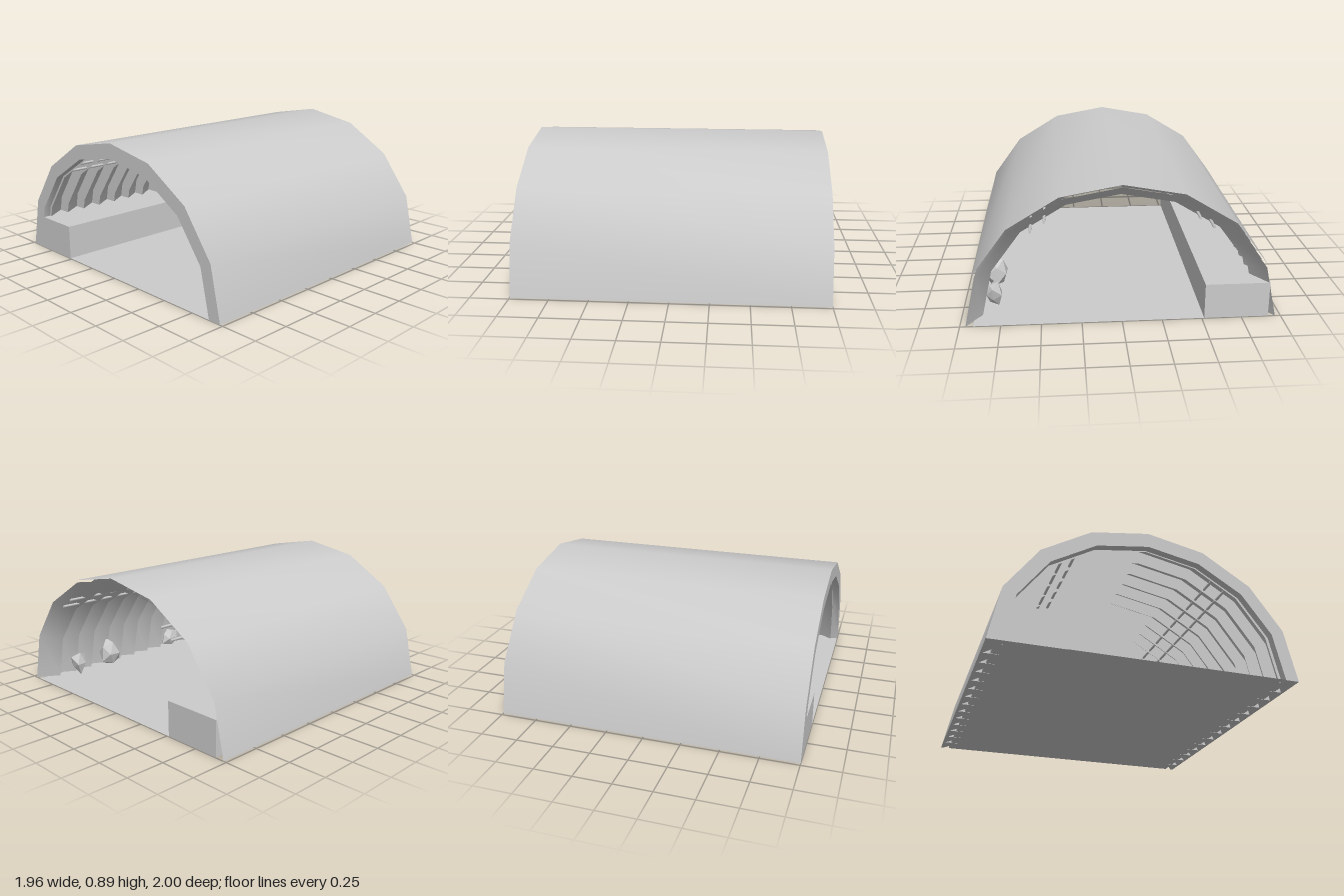
import * as THREE from 'three';

const RX = 0.98, RY = 0.895;      // outer half width and height
const SEGMENTS = 8;
const BACK = -1, FRONT = 1, LIP = 0.95;
const PANELS = 14;
const WIDE = [0.965, 0.88], NARROW = [0.87, 0.79], RING = [0.89, 0.797];

const grey = (options = {}) => new THREE.MeshStandardMaterial({ color: 0xcccccc, ...options });

function addMesh(parent, name, geometry, material = grey()) {
  const mesh = new THREE.Mesh(geometry, material);
  mesh.name = name;
  parent.add(mesh);
  return mesh;
}

// Strip between two half ellipses, each given as [rx, ry] at a depth z
function archStrip([rx0, ry0], z0, [rx1, ry1], z1) {
  const positions = [], index = [];
  for (let i = 0; i <= SEGMENTS; i++) {
    const a = (i / SEGMENTS) * Math.PI, c = Math.cos(a), s = Math.sin(a);
    positions.push(rx0 * c, ry0 * s, z0, rx1 * c, ry1 * s, z1);
    if (i < SEGMENTS) {
      const k = i * 2;
      index.push(k, k + 1, k + 2, k + 2, k + 1, k + 3);
    }
  }
  const geometry = new THREE.BufferGeometry();
  geometry.setAttribute('position', new THREE.Float32BufferAttribute(positions, 3));
  geometry.setIndex(index);
  geometry.computeVertexNormals();
  return geometry;
}

// Faceted boulder, each corner pushed in or out by a hash of its position
function rockGeometry(seed, sx, sy, sz) {
  const geometry = new THREE.IcosahedronGeometry(1, 0);
  const p = geometry.attributes.position, v = new THREE.Vector3();
  for (let i = 0; i < p.count; i++) {
    v.fromBufferAttribute(p, i);
    const h = Math.sin(Math.round(v.x * 50) * 1.3 + Math.round(v.y * 50) * 2.7 + Math.round(v.z * 50) * 4.1 + seed);
    v.multiplyScalar(0.92 + 0.24 * h);
    p.setXYZ(i, v.x * sx, v.y * sy, v.z * sz);
  }
  geometry.computeVertexNormals();
  return geometry;
}

export function createModel() {
  const model = new THREE.Group();
  model.name = 'tunnel';

  // Outer vault and the flat ring closing its front
  addMesh(model, 'outerVault', archStrip([RX, RY], FRONT, [RX, RY], BACK));
  addMesh(model, 'frontRing', archStrip(RING, FRONT, [RX, RY], FRONT));
  addMesh(model, 'frontRingInside', archStrip(RING, LIP, RING, FRONT));

  // Saw-toothed lining: each panel narrows towards the front, then steps out
  const lining = new THREE.Group();
  lining.name = 'lining';
  model.add(lining);
  const pitch = (LIP - BACK) / PANELS;
  for (let i = 0; i < PANELS; i++) {
    const z0 = BACK + i * pitch, z1 = z0 + pitch;
    addMesh(lining, 'liningPanel', archStrip(WIDE, z0, NARROW, z1));
    addMesh(lining, 'liningStep', archStrip(NARROW, z1, i < PANELS - 1 ? WIDE : RING, z1));
  }

  // Undersides of the wall, and service cables half sunk in the lining
  for (const side of [1, -1]) {
    const outline = [[RX, FRONT], [RX, BACK]];
    for (let i = 0; i < PANELS; i++) {
      outline.push([WIDE[0], BACK + i * pitch], [NARROW[0], BACK + (i + 1) * pitch]);
    }
    outline.push([RING[0], LIP + 0.001], [RING[0], FRONT]);
    const shape = new THREE.Shape(outline.map(([x, z]) => new THREE.Vector2(side * x, z)));
    addMesh(model, 'wallUnderside', new THREE.ShapeGeometry(shape).rotateX(Math.PI / 2));

    for (const [x, y] of [[0.465, 0.675], [0.55, 0.615]]) {
      const cable = addMesh(model, 'cable', new THREE.CylinderGeometry(0.009, 0.009, LIP - BACK, 6).rotateX(Math.PI / 2));
      cable.position.set(side * x, y, (LIP + BACK) / 2);
    }
  }

  // Floor and the raised walkway along one wall
  const floor = addMesh(model, 'floor', new THREE.PlaneGeometry(1.84, 2).rotateX(-Math.PI / 2), grey({ side: THREE.DoubleSide }));
  floor.position.y = 0.002;
  const walkway = addMesh(model, 'walkway', new THREE.BoxGeometry(0.405, 0.23, 2));
  walkway.position.set(-0.7175, 0.117, 0);

  // Walkway end carried across the foot of the front ring
  const foot = new THREE.Shape([[-RX, 0], [-0.515, 0], [-0.515, 0.232], [-0.93, 0.232]].map(([x, y]) => new THREE.Vector2(x, y)));
  addMesh(model, 'walkwayEnd', new THREE.ShapeGeometry(foot)).position.z = FRONT;

  // Boulders against the opposite wall
  const rocks = [
    [0.81, 0.09, -0.74, 0.06, 0.09, 0.06],
    [0.8, 0.105, -0.45, 0.075, 0.105, 0.08],
    [0.79, 0.1, 0.15, 0.07, 0.09, 0.1],
  ];
  rocks.forEach(([x, y, z, sx, sy, sz], i) => {
    const rock = addMesh(model, 'boulder', rockGeometry(i * 2.3, sx, sy, sz), grey({ flatShading: true }));
    rock.position.set(x, y, z);
    // Rest the boulder on the ground
    rock.geometry.computeBoundingBox();
    rock.position.y = Math.max(y, -rock.geometry.boundingBox.min.y);
  });

  return model;
}
